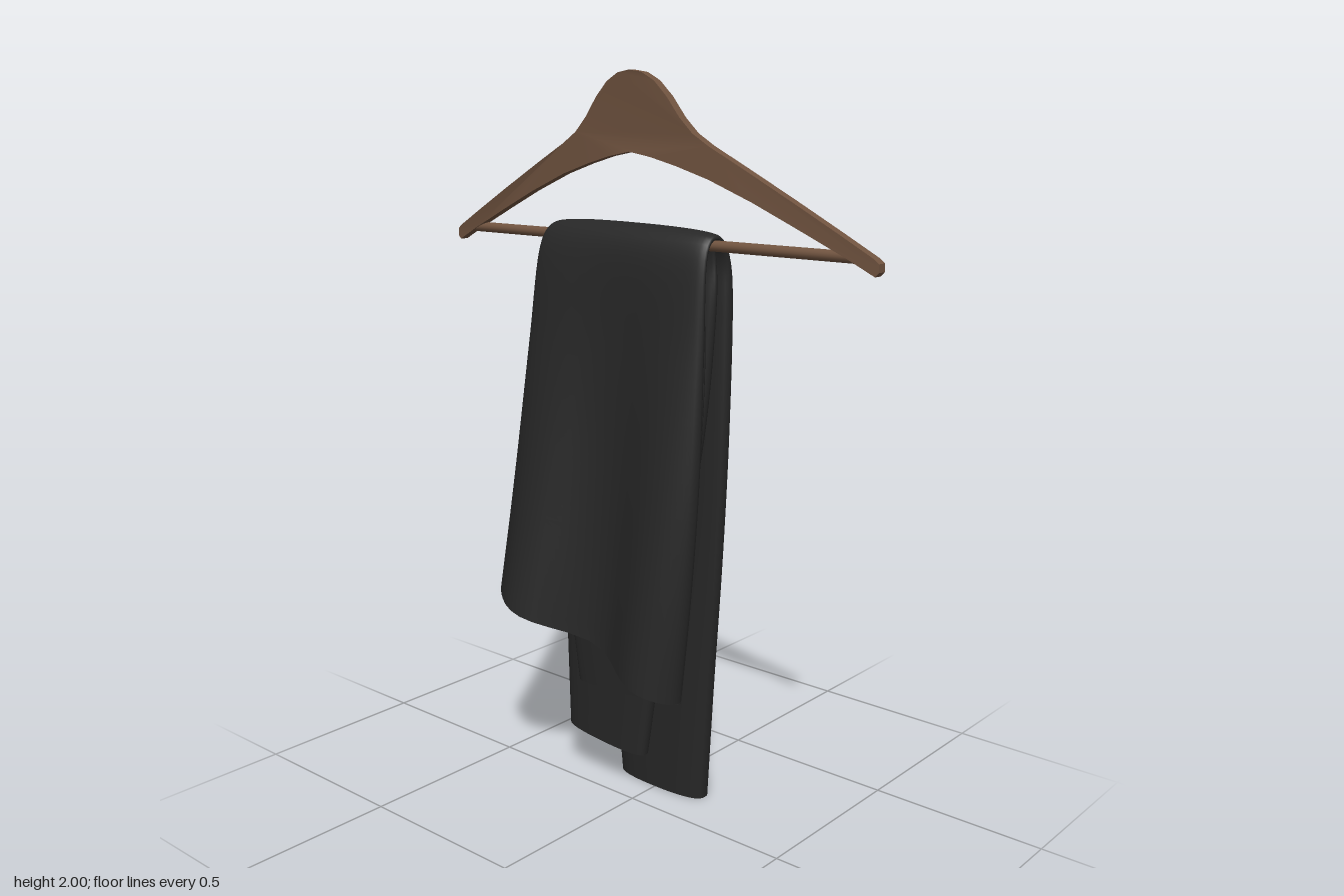
import * as THREE from 'three';
import { toCreasedNormals } from 'three/addons/utils/BufferGeometryUtils.js';

const wood = new THREE.MeshStandardMaterial({ color: 0x715440 });
wood.name = 'brown wood';
const cloth = new THREE.MeshStandardMaterial({ color: 0x272727, side: THREE.DoubleSide });
cloth.name = 'charcoal cloth';

function addMesh(group, name, geometry, material) {
  const mesh = new THREE.Mesh(geometry, material);
  mesh.name = name;
  group.add(mesh);
  return mesh;
}

// Flattened cloth tube that runs up the back, over the bar and down the front.
// Station: left edge [x, y, z], right edge [x, y, z], [half thickness, facing angle, wave depth of the outer sheet]
function drapedTube(stations, rows = 72, around = 48) {
  const [left, right, extra] = [0, 1, 2].map((k) => new THREE.CatmullRomCurve3(
    stations.map((s) => new THREE.Vector3(...s[k])), false, 'catmullrom', 0.5));
  const soften = (v, p) => Math.sign(v) * Math.abs(v) ** p;
  const positions = [], index = [];
  for (let i = 0; i <= rows; i++) {
    const l = left.getPoint(i / rows), r = right.getPoint(i / rows), e = extra.getPoint(i / rows);
    for (let j = 0; j < around; j++) {
      const a = (j / around) * Math.PI * 2;
      const u = (1 + soften(Math.cos(a), 0.85)) / 2;
      const side = soften(Math.sin(a), 0.7);
      const p = l.clone().lerp(r, u);
      p.y += e.x * side * Math.sin(e.y);
      p.z -= e.x * side * Math.cos(e.y);
      p.z += e.z * (1 + side) / 2 * Math.cos((Math.PI * 2 * (u - 0.18)) / 0.7);
      positions.push(p.x, p.y, p.z);
      if (i < rows) {
        const k = (j + 1) % around, n = i * around;
        index.push(n + j, n + k, n + around + j, n + k, n + around + k, n + around + j);
      }
    }
  }
  const g = new THREE.BufferGeometry();
  g.setAttribute('position', new THREE.Float32BufferAttribute(positions, 3));
  g.setIndex(index);
  g.computeVertexNormals();
  return g;
}

// Wooden arms: mirrored outline, then swept backwards towards both ends
function hangerBody() {
  const upper = [[0, 2], [0.04, 1.994], [0.08, 1.973], [0.12, 1.935], [0.16, 1.885], [0.2, 1.847],
    [0.25, 1.817], [0.35, 1.767], [0.5, 1.69], [0.62, 1.627], [0.715, 1.576], [0.727, 1.566]];
  const lower = [[0.727, 1.546], [0.718, 1.536], [0.64, 1.574], [0.5, 1.636], [0.38, 1.688],
    [0.25, 1.738], [0.15, 1.768], [0.07, 1.788], [0, 1.8]];
  const half = [...upper, ...lower];
  const mirrored = half.slice(1, -1).reverse().map(([x, y]) => [-x, y]);
  const shape = new THREE.Shape([...half, ...mirrored].map(([x, y]) => new THREE.Vector2(x, y)));
  const g = new THREE.ExtrudeGeometry(shape, { depth: 0.026, bevelEnabled: false });
  const pos = g.attributes.position;
  for (let i = 0; i < pos.count; i++) {
    const x = pos.getX(i), t = Math.abs(x) / 0.73;
    pos.setZ(i, pos.getZ(i) - 0.013 - (x < 0 ? 0.073 : 0.022) * t ** 1.15);
  }
  return toCreasedNormals(g, 0.6);
}

export function createModel() {
  const model = new THREE.Group();
  model.name = 'trousersOnHanger';

  const hanger = new THREE.Group();
  hanger.name = 'hanger';
  model.add(hanger);
  addMesh(hanger, 'hangerArms', hangerBody(), wood);

  // Straight rod between the two arm ends
  const a = new THREE.Vector3(-0.66, 1.575, -0.068), b = new THREE.Vector3(0.66, 1.575, -0.022);
  addMesh(hanger, 'trouserBar', new THREE.TubeGeometry(new THREE.LineCurve3(a, b), 1, 0.014, 16), wood);

  const trousers = new THREE.Group();
  trousers.name = 'trousers';
  model.add(trousers);
  const P = Math.PI;

  // Long rear leg, continuing over the bar into the wavy, open waist at the front
  addMesh(trousers, 'outerLegAndWaist', drapedTube([
    [[-0.15, 0.005, -0.142], [0.15, 0.005, -0.142], [0.043, 0, 0]],
    [[-0.185, 0.35, -0.139], [0.175, 0.35, -0.135], [0.042, 0, 0]],
    [[-0.22, 0.7, -0.136], [0.205, 0.7, -0.126], [0.04, 0, 0]],
    [[-0.255, 1.05, -0.132], [0.23, 1.05, -0.115], [0.039, 0, 0.003]],
    [[-0.29, 1.4, -0.128], [0.243, 1.4, -0.106], [0.039, 0, 0.005]],
    [[-0.305, 1.54, -0.11], [0.243, 1.54, -0.092], [0.03, 0.45, 0.002]],
    [[-0.31, 1.603, -0.05], [0.245, 1.594, -0.045], [0.02, P / 2, 0]],
    [[-0.325, 1.545, 0.004], [0.245, 1.545, 0.002], [0.023, P * 0.92, 0]],
    [[-0.34, 1.3, 0.034], [0.247, 1.3, 0.012], [0.028, P, 0.01]],
    [[-0.36, 1.03, 0.06], [0.24, 0.98, 0.014], [0.036, P, 0.025]],
    [[-0.38, 0.8, 0.08], [0.22, 0.67, 0.016], [0.043, P, 0.038]],
    [[-0.4, 0.585, 0.1], [0.19, 0.36, 0.018], [0.05, P, 0.05]],
  ]), cloth);

  // Shorter leg nested inside, with its front end hanging below the waist
  addMesh(trousers, 'innerLeg', drapedTube([
    [[-0.28, 0.145, -0.054], [0.005, 0.122, -0.054], [0.034, 0, 0]],
    [[-0.29, 0.4, -0.056], [0.05, 0.4, -0.056], [0.036, 0, 0]],
    [[-0.305, 0.75, -0.06], [0.13, 0.75, -0.06], [0.037, 0, 0]],
    [[-0.32, 1.1, -0.066], [0.195, 1.1, -0.062], [0.037, 0, 0.003]],
    [[-0.335, 1.4, -0.075], [0.225, 1.4, -0.062], [0.032, 0, 0.004]],
    [[-0.343, 1.53, -0.07], [0.225, 1.53, -0.062], [0.02, 0.3, 0]],
    [[-0.343, 1.583, -0.046], [0.225, 1.58, -0.043], [0.012, P / 2, 0]],
    [[-0.34, 1.53, -0.018], [0.225, 1.53, -0.016], [0.013, P * 0.92, 0]],
    [[-0.32, 1.25, -0.01], [0.23, 1.25, -0.014], [0.022, P, 0]],
    [[-0.28, 0.9, 0], [0.215, 0.9, -0.008], [0.022, P, 0]],
    [[-0.235, 0.6, 0.004], [0.195, 0.6, 0], [0.022, P, 0]],
    [[-0.19, 0.32, 0.006], [0.175, 0.345, 0.006], [0.022, P, 0]],
  ]), cloth);

  return model;
}
